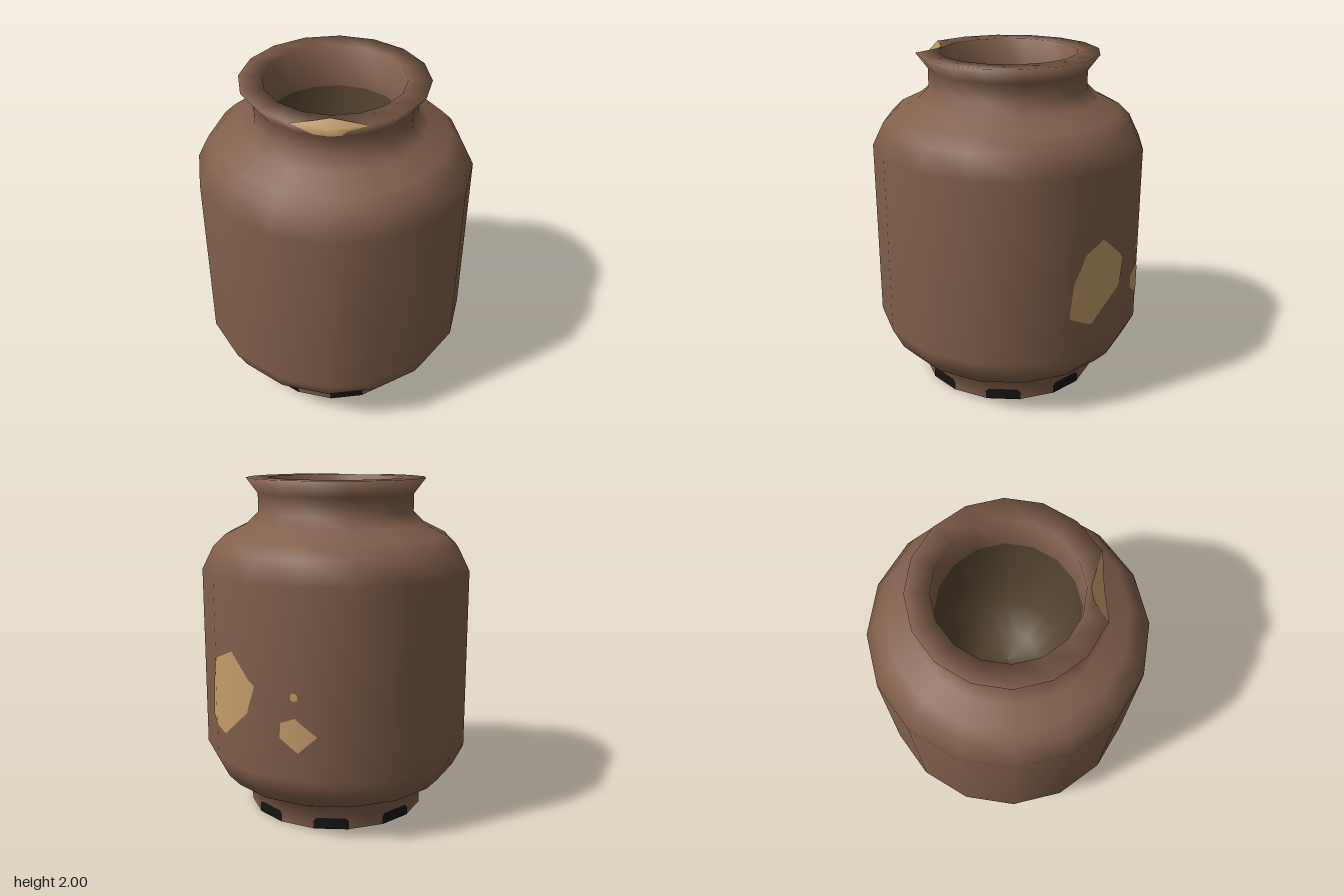
import * as THREE from 'three';

const SIDES = 16;
const STEP = 360 / SIDES;

const mat = (name, color) => {
  const m = new THREE.MeshStandardMaterial({ color });
  m.name = name;
  return m;
};

// Point at an angle (degrees, 0 = front, 90 = +x), radius and height
const polar = (deg, r, y) => {
  const a = THREE.MathUtils.degToRad(deg);
  return new THREE.Vector3(r * Math.sin(a), y, r * Math.cos(a));
};

const turned = (profile) =>
  new THREE.LatheGeometry(profile.map(([r, y]) => new THREE.Vector2(r, y)), SIDES);

function surface(points, normals, index) {
  const g = new THREE.BufferGeometry().setFromPoints(points);
  g.setAttribute('normal', new THREE.Float32BufferAttribute(normals.flatMap((n) => n.toArray()), 3));
  if (index) g.setIndex(index);
  return g;
}

// Lowest and highest y of a convex [angle, y] outline at one angle
function spanAt(outline, deg) {
  const ys = [];
  outline.forEach(([a0, y0], i) => {
    const [a1, y1] = outline[(i + 1) % outline.length];
    if (deg < Math.min(a0, a1) - 1e-6 || deg > Math.max(a0, a1) + 1e-6) return;
    if (Math.abs(a1 - a0) < 1e-6) ys.push(y0, y1);
    else ys.push(y0 + ((y1 - y0) * (deg - a0)) / (a1 - a0));
  });
  return [Math.min(...ys), Math.max(...ys)];
}

// Thin patch that follows the faceted wall of the given radius
function wallPatch(outline, radius) {
  const angles = outline.map((p) => p[0]);
  const lo = Math.min(...angles), hi = Math.max(...angles);
  for (let a = Math.ceil(lo / STEP) * STEP; a < hi; a += STEP) angles.push(a);
  const cuts = [...new Set(angles)].sort((a, b) => a - b);
  const points = [], normals = [], index = [];
  cuts.forEach((deg, i) => {
    const off = deg - (Math.floor(deg / STEP) + 0.5) * STEP;
    const flat = Math.cos(THREE.MathUtils.degToRad(STEP / 2)) / Math.cos(THREE.MathUtils.degToRad(off));
    for (const y of spanAt(outline, deg)) {
      points.push(polar(deg, radius * flat + 0.003, y));
      normals.push(polar(deg, 1, 0));
    }
    if (i > 0) {
      const a = 2 * i - 2;
      index.push(a, a + 2, a + 1, a + 2, a + 3, a + 1);
    }
  });
  return surface(points, normals, index);
}

export function createModel() {
  const clay = mat('brown clay', 0x815f4b);
  const bare = mat('bare tan clay', 0xc49d6a);
  const inside = mat('dark olive interior', 0x564531);
  const black = mat('black', 0x151515);

  const model = new THREE.Group();
  model.name = 'jar';
  const add = (name, geometry, material) => {
    const mesh = new THREE.Mesh(geometry, material);
    mesh.name = name;
    model.add(mesh);
  };

  // Wall from the foot up, over the lip and down the neck
  const profile = [
    [0.533, 0], [0.533, 0.135], [0.67, 0.2], [0.735, 0.27], [0.8, 0.4], [0.8, 1.47],
    [0.735, 1.6], [0.665, 1.67], [0.533, 1.735], [0.465, 1.8], [0.465, 1.91], [0.533, 2],
    [0.4, 2], [0.4, 1.74],
  ];
  const LIP = 11;

  // One corner of the lip is chipped
  const CHIP = 2;
  const P0 = polar(CHIP * STEP, 0.488, 1.966);
  const body = turned(profile);
  body.attributes.position.setXYZ(CHIP * profile.length + LIP, ...P0.toArray());
  add('body', body, clay);

  // Hollow inside and underside of the foot
  add('interior', turned([[0.4, 1.74], [0.39, 1.4], [0.32, 1.12], [0.18, 0.97], [0, 0.94]]), inside);
  add('footUnderside', turned([[0, 0.006], [0.533, 0.004]]), black);

  // Notches around the foot, with clay teeth between them on the underside
  const down = new THREE.Vector3(0, -1, 0);
  for (let k = 0; k < SIDES; k++) {
    const a = k * STEP, b = a + STEP;
    if (k % 2 === 0) {
      const outline = [[a, 0], [b, 0], [b, 0.05], [b - 2, 0.067], [a + 2, 0.067], [a, 0.05]];
      add('footNotch', wallPatch(outline, 0.533), black);
    } else {
      const tooth = [
        polar(a, 0.533, 0), polar(a, 0.45, 0), polar(a + 2, 0.42, 0),
        polar(b - 2, 0.42, 0), polar(b, 0.45, 0), polar(b, 0.533, 0),
      ];
      const fan = [0, 1, 2, 0, 2, 3, 0, 3, 4, 0, 4, 5].reverse();
      add('footTooth', surface(tooth, tooth.map(() => down), fan), clay);
    }
  }

  // Worn patches on the back
  const patches = [
    [[191.7, 1.07], [205.2, 0.905], [201.5, 0.745], [186, 0.57], [175, 0.645], [176.7, 0.855], [181.5, 1.01]],
    [[223.3, 0.757], [232, 0.655], [224.3, 0.56], [216.3, 0.635], [216.8, 0.72]],
    [[221.2, 0.86], [221.2, 0.887], [222.7, 0.899], [224.4, 0.887], [224.4, 0.86], [222.7, 0.849]],
  ];
  for (const p of patches) add('wornPatch', wallPatch(p, 0.8), bare);

  // Bare clay on the chip: lip top, then lip side
  const at = (k, row) => polar(k * STEP, ...profile[row]);
  const P1 = at(1, LIP), P2 = at(3, LIP);
  const L1 = at(1, LIP - 1), L2 = at(2, LIP - 1), L3 = at(3, LIP - 1);
  const M = P0.clone().lerp(at(2, LIP + 1), 0.8), Q = P0.clone().lerp(at(1, LIP + 1), 0.5);
  const A = L1.clone().lerp(L2, 0.5), R = L2.clone().lerp(L3, 0.35), S = P0.clone().lerp(L3, 0.5);
  const top = [P0, P2, M, P0, M, Q, P0, Q, P1];
  const side = [P0, P1, L2, P1, A, L2, P0, L2, R, P0, R, S, P0, S, P2];
  const lift = polar(CHIP * STEP, 0.004, 0.004);
  const chipNormal = (p) => new THREE.Vector3(p.x, p.y > 1.95 ? 0.3 : 0, p.z).normalize();
  const chip = [...top, ...side];
  add('lipChip', surface(chip.map((p) => p.clone().add(lift)), chip.map(chipNormal)), bare);

  return model;
}
